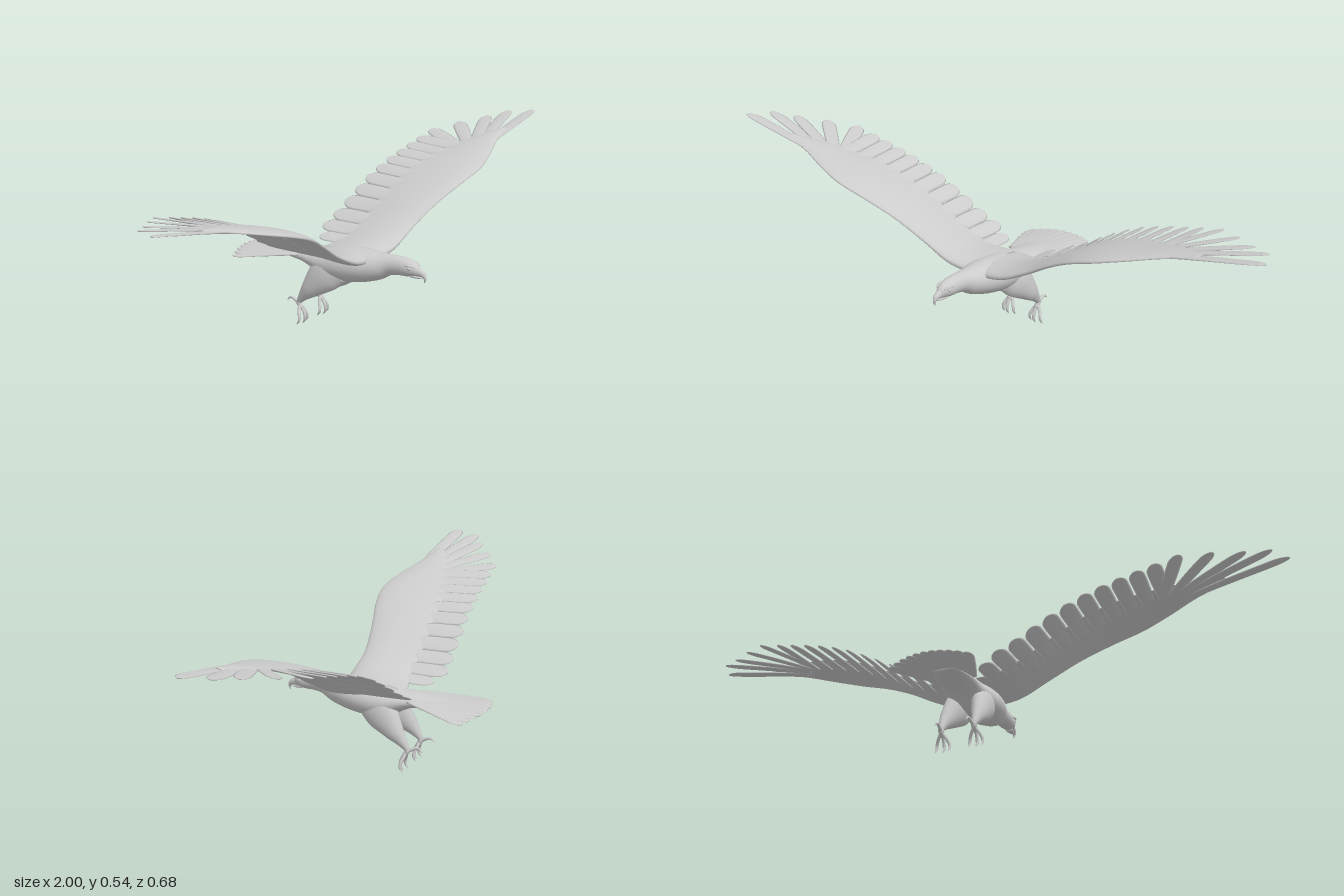
import * as THREE from 'three';

const material = new THREE.MeshStandardMaterial({ color: 0xcccccc, side: THREE.DoubleSide });
const V3 = (x, y, z) => new THREE.Vector3(x, y, z);

// Skin a list of equal-sized closed rings, cap both ends, and face outwards.
function loft(rings) {
  const n = rings[0].length, last = rings.length - 1;
  const centre = (r) => r.reduce((s, p) => s.add(p), V3(0, 0, 0)).divideScalar(n);
  const pts = [...rings.flat(), centre(rings[0]), centre(rings[last])];
  const index = [], poleA = pts.length - 2, poleB = pts.length - 1;
  for (let j = 0; j < n; j++) {
    const k = (j + 1) % n;
    for (let i = 0; i < last; i++) {
      const a = i * n + j, b = i * n + k;
      index.push(a, b, a + n, b, b + n, a + n);
    }
    index.push(poleA, k, j, poleB, last * n + j, last * n + k);
  }
  let volume = 0;
  for (let i = 0; i < index.length; i += 3) {
    volume += pts[index[i]].dot(V3(0, 0, 0).crossVectors(pts[index[i + 1]], pts[index[i + 2]]));
  }
  if (volume < 0) index.reverse();
  const geometry = new THREE.BufferGeometry().setFromPoints(pts);
  geometry.setIndex(index);
  geometry.computeVertexNormals();
  return geometry;
}

// Tapering elliptical form along a smooth path; each stop is [x, y, z, rx, ry].
function limb(stops, steps, sides) {
  const path = new THREE.CatmullRomCurve3(stops.map((s) => V3(s[0], s[1], s[2])));
  const size = new THREE.CatmullRomCurve3(stops.map((s) => V3(s[3], s[4], 0)), false, 'catmullrom');
  const rings = [];
  for (let i = 0; i <= steps; i++) {
    const p = path.getPoint(i / steps), r = size.getPoint(i / steps);
    const t = path.getTangent(i / steps);
    const up = V3(1, 0, 0).cross(t).normalize();
    const side = V3(0, 0, 0).crossVectors(t, up);
    rings.push(Array.from({ length: sides }, (_, j) => {
      const a = (j / sides) * Math.PI * 2;
      return p.clone().addScaledVector(side, Math.cos(a) * r.x).addScaledVector(up, Math.sin(a) * r.y);
    }));
  }
  return loft(rings);
}

// Round-ended blade from root to tip in plan [x, z], laid onto a height rule.
function feather(root, tip, halfWidth, thick, height, roll, mirror = 1) {
  const dx = tip[0] - root[0], dz = tip[1] - root[1], len = Math.hypot(dx, dz);
  const rings = [], steps = 18, sides = 10;
  for (let i = 0; i <= steps; i++) {
    const t = Math.sin((i / steps) * Math.PI / 2);
    const end = t > 0.82 ? Math.sqrt(Math.max(0.002, 1 - ((t - 0.82) / 0.18) ** 2)) : 1;
    const w = halfWidth * (0.8 + 0.2 * Math.sin(t * Math.PI * 0.7)) * end;
    rings.push(Array.from({ length: sides }, (_, j) => {
      const a = (j / sides) * Math.PI * 2, s = Math.cos(a) * w;
      const x = root[0] + dx * t - (dz / len) * s, z = root[1] + dz * t + (dx / len) * s;
      const y = height(x, z) + Math.sin(a) * thick * (1 - 0.6 * t) + roll * s;
      return V3(x * mirror, y, z);
    }));
  }
  return loft(rings);
}

// Wing rise at every tenth of the half span
const rise = new THREE.SplineCurve([0.238, 0.252, 0.295, 0.352, 0.402, 0.437, 0.463, 0.487, 0.507, 0.525, 0.541]
  .map((y, i) => new THREE.Vector2(i / 10, y)));
const wingY = (x) => rise.getPoint(THREE.MathUtils.clamp(x, 0, 1)).y;

// Wing plan at every tenth: leading z, trailing z, half thickness
const plan = new THREE.CatmullRomCurve3([
  [0.15, -0.07, 0.028], [0.162, -0.04, 0.024], [0.164, -0.03, 0.018], [0.185, -0.025, 0.016], [0.215, -0.015, 0.015],
  [0.229, 0, 0.014], [0.207, 0.03, 0.011], [0.175, 0.07, 0.008], [0.16, 0.125, 0.003],
].map((s) => V3(...s)), false, 'catmullrom');

function wingGeometry(mirror) {
  const rings = [], steps = 48, sides = 24;
  for (let i = 0; i <= steps; i++) {
    const s = plan.getPoint(i / steps), x = 0.8 * i / steps;
    rings.push(Array.from({ length: sides }, (_, j) => {
      const a = (j / sides) * Math.PI * 2, c = Math.cos(a);
      const y = wingY(x) + Math.sin(a) * s.z * (0.6 + 0.4 * c) + 0.006 * (1 - c * c);
      return V3(x * mirror, y, (s.x + s.y) / 2 + c * (s.x - s.y) / 2);
    }));
  }
  return loft(rings);
}

export function createModel() {
  const model = new THREE.Group();
  model.name = 'flyingEagle';
  const add = (parent, name, geometry) => {
    const mesh = new THREE.Mesh(geometry, material);
    mesh.name = name;
    parent.add(mesh);
    return mesh;
  };
  const group = (name) => {
    const g = new THREE.Group();
    g.name = name;
    model.add(g);
    return g;
  };

  // Head, neck and trunk: [z, top, bottom, half width]
  add(model, 'body', limb([
    [0.318, 0.236, 0.211, 0.01], [0.3, 0.254, 0.209, 0.021], [0.275, 0.263, 0.207, 0.026], [0.245, 0.266, 0.206, 0.028],
    [0.21, 0.266, 0.199, 0.033], [0.17, 0.267, 0.178, 0.048], [0.12, 0.268, 0.163, 0.064], [0.06, 0.265, 0.153, 0.072],
    [0, 0.256, 0.153, 0.069], [-0.05, 0.247, 0.177, 0.062], [-0.09, 0.243, 0.194, 0.058], [-0.14, 0.236, 0.203, 0.052],
    [-0.2, 0.227, 0.213, 0.035],
  ].map(([z, top, bottom, w]) => [0, (top + bottom) / 2, z, w, (top - bottom) / 2]), 60, 28));

  // Hooked beak
  add(model, 'upperBeak', limb([
    [0, 0.228, 0.298, 0.015, 0.018], [0, 0.226, 0.32, 0.011, 0.013], [0, 0.22, 0.333, 0.008, 0.009],
    [0, 0.21, 0.339, 0.005, 0.005], [0, 0.197, 0.337, 0.001, 0.001],
  ], 20, 14));
  add(model, 'lowerBeak', limb([
    [0, 0.213, 0.295, 0.013, 0.007], [0, 0.211, 0.315, 0.009, 0.005], [0, 0.21, 0.327, 0.003, 0.002],
  ], 10, 12));

  // Tail fan
  const tail = group('tail');
  const tailY = (x, z) => 0.228 + (z + 0.12) * 0.06 - 0.8 * x * x;
  for (let i = -5; i <= 5; i++) {
    const s = i / 5;
    add(tail, 'tailFeather', feather([0.05 * s, -0.1], [0.128 * s, -0.338 + 0.035 * s * s],
      0.021, 0.006, tailY, 0.06 * Math.sign(i)));
  }

  for (const m of [1, -1]) {
    const side = m > 0 ? 'left' : 'right';

    // Wing
    const wing = group(side + 'Wing');
    add(wing, 'wingArm', wingGeometry(m));

    // Trailing flight feathers
    const count = 11;
    for (let i = 0; i < count; i++) {
      const x = 0.1 + 0.052 * i;
      const tipZ = i === 0 ? -0.12 : -0.152 + 0.0046 * i;
      add(wing, 'secondaryFeather', feather([x - 0.003, 0.06 + 0.003 * i], [x + 0.003 * (i - 2), tipZ],
        0.0245, 0.006, wingY, 0.12, m));
    }

    // Spread fingers at the wing tip: root x, root z, tip x, tip z
    for (const [rx, rz, tx, tz] of [
      [0.62, 0.08, 0.72, -0.1], [0.64, 0.1, 0.81, -0.042], [0.65, 0.115, 0.895, 0.022],
      [0.66, 0.13, 0.965, 0.068], [0.68, 0.152, 1, 0.145],
    ]) add(wing, 'primaryFeather', feather([rx, rz], [tx, tz], 0.024, 0.005, wingY, 0.08, m));

    // Leg with feathered thigh
    const leg = group(side + 'Leg');
    add(leg, 'thigh', limb([
      [0.033 * m, 0.205, 0.035, 0.03, 0.055], [0.043 * m, 0.17, -0.005, 0.032, 0.056],
      [0.053 * m, 0.12, -0.053, 0.024, 0.032], [0.055 * m, 0.094, -0.077, 0.015, 0.018],
      [0.055 * m, 0.07, -0.096, 0.008, 0.008],
    ], 24, 18));
    add(leg, 'ankle', limb([
      [0.055 * m, 0.082, -0.09, 0.008, 0.008], [0.055 * m, 0.066, -0.095, 0.009, 0.009],
      [0.055 * m, 0.05, -0.084, 0.007, 0.006],
    ], 10, 12));

    // Three front toes with curled claws
    for (const k of [-1, 0, 1]) {
      const back = k === 0 ? 0 : 0.007, x = (d) => (0.055 + k * d) * m;
      add(leg, 'frontToe', limb([
        [x(0.002), 0.06, -0.091, 0.006, 0.006], [x(0.012), 0.045, -0.08 - back, 0.005, 0.005],
        [x(0.02), 0.028, -0.073 - back, 0.005, 0.005], [x(0.022), 0.014, -0.073 - back, 0.004, 0.004],
        [x(0.022), 0.001, -0.082 - back, 0.001, 0.001],
      ], 16, 10));
    }
    // Hind toe
    add(leg, 'hindToe', limb([
      [0.055 * m, 0.062, -0.092, 0.006, 0.006], [0.053 * m, 0.073, -0.112, 0.005, 0.005],
      [0.052 * m, 0.078, -0.13, 0.004, 0.004], [0.052 * m, 0.066, -0.144, 0.001, 0.001],
    ], 14, 10));

    // Eye and brow ridge
    const eye = add(model, side + 'Eye', new THREE.SphereGeometry(0.006, 14, 10));
    eye.position.set(0.02 * m, 0.238, 0.294);
    add(model, side + 'Brow', limb([
      [0.015 * m, 0.243, 0.31, 0.002, 0.002], [0.021 * m, 0.247, 0.296, 0.005, 0.003],
      [0.023 * m, 0.247, 0.278, 0.002, 0.002],
    ], 8, 8));
  }
  return model;
}
